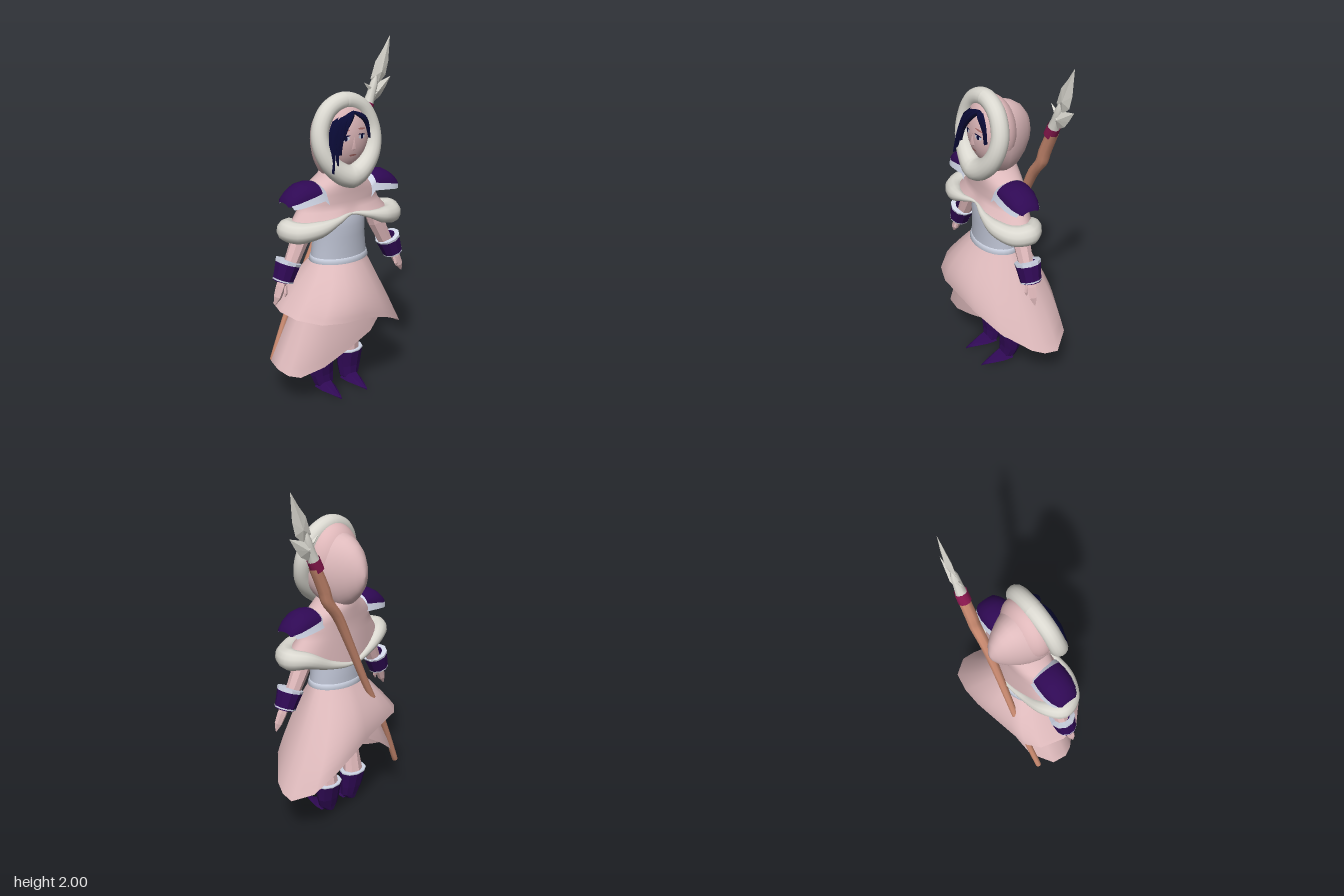
import * as THREE from 'three';

const paint = (name, color) => Object.assign(new THREE.MeshStandardMaterial({ color, side: THREE.DoubleSide }), { name });
const cloth = paint('pink cloth', 0xdebabc), fur = paint('cream fur', 0xdad8d0), steel = paint('grey corset', 0xbabfcf),
  trim = paint('pale trim', 0xd0d6e6), purple = paint('purple leather', 0x2f0954), skin = paint('skin', 0xdfb8ba),
  wood = paint('wood', 0xca8a70), magenta = paint('magenta binding', 0x8c1850), hairBlue = paint('navy hair', 0x0a0b38),
  brown = paint('brow and lip', 0xb0706c);

const V = (x, y, z) => new THREE.Vector3(x, y, z);
const { lerp } = THREE.MathUtils;
const curve = (pts, closed = false) => new THREE.CatmullRomCurve3(pts.map(p => V(p[0], p[1], p[2])), closed, 'centripetal');
const MID = -0.015; // the body stands slightly off the centre line

// Skin a grid of points; rows may be closed into rings
function surface(rows, closed = true, flat = false) {
  const n = rows[0].length, pos = [], idx = [];
  rows.forEach(r => r.forEach(p => pos.push(p.x, p.y, p.z)));
  for (let i = 0; i < rows.length - 1; i++)
    for (let j = 0; j < (closed ? n : n - 1); j++) {
      const k = (j + 1) % n, a = i * n + j, b = i * n + k, c = a + n, d = b + n;
      idx.push(a, b, c, b, d, c);
    }
  let g = new THREE.BufferGeometry();
  g.setAttribute('position', new THREE.Float32BufferAttribute(pos, 3));
  g.setIndex(idx);
  if (flat) g = g.toNonIndexed();
  g.computeVertexNormals();
  return g;
}

// Horizontal elliptical rings: [y, rx, rz, cx, cz]
function rings(list, sides, flat) {
  return surface(list.map(([y, rx, rz, cx = 0, cz = 0]) => Array.from({ length: sides }, (_, i) => {
    const a = i / sides * Math.PI * 2;
    return V(cx + Math.cos(a) * rx, y, cz + Math.sin(a) * rz);
  })), true, flat);
}

// Round section of changing radius swept along points [x, y, z, r]
function sweep(pts, segs, sides, { closed = false, flat = false } = {}) {
  const c = curve(pts, closed), f = c.computeFrenetFrames(segs, closed), rows = [];
  const spans = closed ? pts.length : pts.length - 1;
  for (let i = 0; i <= segs; i++) {
    const t = i / segs, k = Math.min(Math.floor(t * spans), spans - 1);
    const r = lerp(pts[k][3], pts[(k + 1) % pts.length][3], t * spans - k);
    const p = c.getPoint(t), tan = c.getTangent(t);
    const nrm = f.normals[i].clone().addScaledVector(tan, -f.normals[i].dot(tan)).normalize();
    const bin = tan.clone().cross(nrm);
    rows.push(Array.from({ length: sides }, (_, j) => {
      const a = j / sides * Math.PI * 2;
      return p.clone().addScaledVector(nrm, Math.cos(a) * r).addScaledVector(bin, Math.sin(a) * r);
    }));
  }
  return surface(rows, true, flat);
}

// Skirt layer falling from an oval waist to a slanted, straight-edged hem
function skirt(hem, y0, rx, rz) {
  return surface(Array.from({ length: 13 }, (_, i) => {
    const t = i / 12, s = Math.sin(t * Math.PI / 2);
    return hem.map(([x, y, z]) => {
      const a = Math.atan2(z / 0.26, x / 0.42);
      return V(lerp(MID + rx * Math.cos(a), x, t), lerp(y0, y, t), lerp(rz * Math.sin(a), z, s));
    });
  }));
}

// Flat outline with a raised ridge at its centre, front and back
function ridged(outline, [cx, cy], z, thick) {
  const rim = outline.map(([x, y]) => V(x, y, z));
  const tip = dz => rim.map(() => V(cx, cy, z + dz));
  return surface([tip(thick), rim, tip(-thick)], true, true);
}

export function createModel() {
  const root = new THREE.Group();
  const add = (name, geo, mat) => {
    const m = new THREE.Mesh(geo, mat);
    m.name = name;
    root.add(m);
    return m;
  };

  // Skirt layers
  add('upperSkirt', skirt([[.46, .27, -.12], [.45, .28, -.04], [.42, .31, .03], [.3, .4, .16], [.14, .485, .235], [-.02, .53, .26],
    [-.16, .535, .26], [-.28, .54, .22], [-.38, .56, .12], [-.41, .575, 0], [-.37, .57, -.14], [-.3, .57, -.2], [-.2, .56, -.22],
    [0, .52, -.25], [.1, .48, -.26], [.24, .41, -.255], [.38, .32, -.22]], .83, .17, .125), cloth);
  add('lowerSkirt', skirt([[.25, .5, 0], [.24, .46, .09], [.1, .38, .155], [-.06, .31, .16], [-.22, .24, .15], [-.36, .205, .12],
    [-.41, .21, .07], [-.44, .235, .01], [-.43, .25, -.08], [-.31, .31, -.17], [-.2, .4, -.19], [-.08, .48, -.19], [.05, .5, -.17],
    [.2, .52, -.1]], .78, .16, .11), cloth);

  // Corset and waistband
  add('corset', rings([[.82, .175, .125, MID], [.88, .167, .121, MID], [.97, .155, .12, MID, .003], [1.03, .152, .112, MID, .012],
    [1.08, .145, .1, MID, .018], [1.13, .12, .085, MID, .015]], 32), steel);
  add('waistband', rings([[.85, .168, .122, MID], [.848, .174, .127, MID], [.82, .182, .134, MID], [.815, .165, .12, MID]], 32), trim);

  // Shoulder cape with a fur hem, open to a peak at the front
  const half = [[.1, 1.082, .146, .022], [.2, 1.055, .133, .045], [.295, 1.038, .08, .058], [.325, 1.04, .005, .06],
    [.265, 1.035, -.062, .046], [.14, .985, -.105, .026]];
  const hem = [[MID, 1.105, .13, .006], ...half, [MID, .955, -.13, .01],
    ...half.slice().reverse().map(([x, y, z, r]) => [2 * MID - x, y, z, r])];
  const hemCurve = curve(hem, true), hemPts = Array.from({ length: 64 }, (_, i) => hemCurve.getPoint(i / 64));
  const capeRows = [[1.34, .09, .105], [1.3, .12, .116], [1.27, .18, .116], [1.22, .245, .114], [1.17, .243, .113], [1.13, .265, .118]].map(
    ([y, rx, rz]) => hemPts.map(p => {
      const a = Math.atan2(p.z / .13, (p.x - MID) / .35);
      return V(MID + rx * Math.cos(a), Math.max(y, p.y + .01), rz * Math.sin(a));
    }));
  add('shoulderCape', surface([...capeRows, hemPts]), cloth);
  add('capeFur', sweep(hem, 84, 12, { closed: true }), fur);

  // Hood: rings narrowing towards a soft point at the back
  const hood = [[.06, .165, .2, 1.49], [0, .157, .21, 1.472], [-.05, .14, .208, 1.473], [-.1, .115, .19, 1.475],
    [-.15, .085, .15, 1.48], [-.19, .05, .095, 1.48], [-.21, .02, .04, 1.475], [-.215, .001, .002, 1.475]];
  add('hood', surface(hood.map(([z, rx, ry, cy]) => Array.from({ length: 32 }, (_, i) => {
    const a = i / 32 * Math.PI * 2;
    return V(MID + Math.cos(a) * rx, cy + Math.sin(a) * ry, z);
  }))), cloth);
  add('hoodFur', sweep([[-.02, 1.712, .055, .049], [.09, 1.67, .06, .048], [.149, 1.56, .075, .048], [.138, 1.45, .1, .05],
    [.072, 1.36, .118, .056], [-.02, 1.315, .128, .064], [-.112, 1.36, .118, .056], [-.178, 1.45, .1, .05],
    [-.189, 1.56, .075, .048], [-.13, 1.67, .06, .048]], 64, 16, { closed: true }), fur);

  // Face, with thin features laid on its curve
  const FC = V(MID, 1.525, .025), FR = V(.168, .2, .118);
  add('face', new THREE.SphereGeometry(1, 32, 24).scale(FR.x, FR.y, FR.z), skin).position.copy(FC);
  const feature = (name, x, y, w, h, mat, lift, tilt = 0) => {
    const g = new THREE.CircleGeometry(1, 16).scale(w, h, 1).rotateZ(tilt).translate(MID + x, y, 0), p = g.attributes.position;
    for (let i = 0; i < p.count; i++) {
      const u = (p.getX(i) - FC.x) / FR.x, v = (p.getY(i) - FC.y) / FR.y;
      p.setZ(i, FC.z + FR.z * Math.sqrt(Math.max(0, 1 - u * u - v * v)) + lift);
    }
    g.computeVertexNormals();
    add(name, g, mat);
  };
  for (const s of [-1, 1]) {
    feature('eyeWhite', s * .053, 1.528, .024, .012, trim, .003);
    feature('iris', s * .053, 1.528, .01, .012, hairBlue, .005);
    feature('eyelid', s * .053, 1.541, .027, .004, hairBlue, .005, -s * .15);
    feature('eyebrow', s * .055, 1.57, .028, .005, brown, .004, -s * .12);
  }
  feature('mouth', 0, 1.432, .024, .006, brown, .004);
  add('nose', surface([[V(MID, 1.53, .142), V(MID, 1.53, .144), V(MID, 1.53, .142)],
    [V(MID - .013, 1.465, .134), V(MID, 1.472, .16), V(MID + .013, 1.465, .134)],
    [V(MID, 1.457, .132), V(MID, 1.455, .136), V(MID, 1.457, .132)]], false), skin);

  // Hair: tapered locks falling from the parting
  const lock = (w, ...pts) => {
    const c = curve(pts);
    add('hairLock', surface(Array.from({ length: 9 }, (_, i) => {
      const t = i / 8, p = c.getPoint(t), k = w * Math.sin(Math.PI * (.2 + .79 * t));
      return [V(p.x - k, p.y, p.z - .012), V(p.x, p.y, p.z + .006), V(p.x + k, p.y, p.z - .012), V(p.x, p.y, p.z - .016)];
    })), hairBlue);
  };
  lock(.024, [-.02, 1.66, .11], [-.1, 1.61, .135], [-.145, 1.5, .155], [-.168, 1.36, .172]);
  lock(.024, [-.01, 1.66, .11], [-.09, 1.61, .14], [-.125, 1.52, .16], [-.14, 1.4, .172]);
  lock(.028, [0, 1.665, .11], [-.07, 1.62, .14], [-.1, 1.54, .157], [-.115, 1.45, .162]);
  lock(.03, [.01, 1.665, .11], [-.03, 1.635, .135], [-.06, 1.595, .15], [-.09, 1.53, .155]);
  lock(.024, [-.09, 1.64, .1], [-.13, 1.58, .125], [-.152, 1.5, .145], [-.165, 1.42, .16]);
  lock(.02, [0, 1.665, .11], [.05, 1.64, .13], [.083, 1.59, .137], [.097, 1.51, .135]);
  lock(.022, [0, 1.665, .11], [.03, 1.645, .135], [.07, 1.61, .14], [.093, 1.56, .135]);

  for (const s of [-1, 1]) {
    const X = x => MID + s * x, side = s > 0 ? 'left' : 'right';
    const limb = (name, pts, sides, mat, segs = pts.length - 1) =>
      add(side + name, sweep(pts.map(([x, y, z, r]) => [X(x), y, z, r]), segs, sides, { flat: true }), mat);

    // Shoulder pad: shallow arch sloping outwards; stations are [x, top, foot, half depth]
    const pad = [[.18, 1.29, 1.238, .088], [.22, 1.3, 1.23, .092], [.28, 1.294, 1.218, .09], [.325, 1.268, 1.205, .08],
      [.36, 1.235, 1.195, .062], [.372, 1.205, 1.19, .045]];
    const arch = ([x, top, foot, depth]) => Array.from({ length: 13 }, (_, i) => {
      const a = (i / 12 - .5) * Math.PI;
      return V(X(x), foot + (top - foot) * Math.cos(a), .018 + depth * Math.sin(a));
    });
    add(side + 'ShoulderPad', surface(pad.map(arch), false), purple);
    add(side + 'PadInnerTrim', surface([[.15, 1.27, 1.215, .09], [.18, 1.292, 1.236, .09]].map(arch), false), trim);
    for (const e of [-1, 1]) // pale border under the front and back edges
      add(side + 'PadEdgeTrim', surface([[.15, 1.27, 1.215, .09], ...pad.slice(0, 5)].map(([x, , foot, depth], i) => {
        const drop = .042 - i * .005;
        return [V(X(x), foot + .004, .018 + e * (depth + .001)), V(X(x - .01), foot - drop, .018 + e * (depth + .012))];
      }), false), trim);

    // Arm, cuff and hand
    limb('Arm', [[.21, 1.12, 0, .05], [.26, .98, .005, .05], [.34, .82, .012, .04]], 8, skin);
    limb('Cuff', [[.345, .862, .012, .05], [.346, .86, .012, .072], [.384, .762, .015, .058], [.385, .758, .015, .02]], 10, purple);
    limb('CuffTopTrim', [[.341, .872, .012, .048], [.342, .87, .012, .075], [.347, .856, .012, .073]], 10, trim);
    limb('CuffLowerTrim', [[.38, .772, .015, .061], [.383, .764, .015, .06]], 10, trim);
    limb('Hand', [[.38, .78, .015, .024], [.4, .735, .02, .027], [.425, .68, .025, .022], [.443, .64, .025, .004]], 6, skin);
    limb('Thumb', [[.38, .74, .035, .012], [.385, .7, .045, .011], [.39, .68, .045, .003]], 5, skin);

    // Leg and pointed boot
    const cx = X(.105), heel = X(.092);
    add(side + 'Leg', rings([[.72, .05, .05, X(.085)], [.5, .043, .045, X(.1), -.01], [.36, .042, .043, cx, -.02],
      [.19, .064, .055, cx, -.04]], 8, true), skin);
    add(side + 'Boot', rings([[.2, .086, .068, cx, -.04], [.1, .076, .052, X(.1), -.035], [.04, .06, .046, heel, -.025],
      [.012, .03, .035, heel, -.03], [.01, .001, .001, heel, -.03]], 10, true), purple);
    add(side + 'BootToe', surface([[-.03, .058, .075, .012], [.03, .05, .052, .008], [.1, .026, .024, .004], [.158, .001, .006, .003]].map(
      ([z, w, top, bottom]) => [V(heel - w, bottom + .01, z), V(heel - w * .45, top, z), V(heel + w * .45, top, z),
        V(heel + w, bottom + .01, z), V(heel, bottom, z)]), true, true), purple);
    add(side + 'BootTrim', rings([[.194, .086, .068, cx, -.04], [.201, .09, .072, cx, -.04], [.208, .085, .067, cx, -.04],
      [.205, .06, .05, cx, -.04]], 10), trim);
  }

  // Spear across the back
  add('spearShaft', sweep([[-.375, .205, -.155, .001], [-.374, .207, -.155, .017], [-.24, .52, -.165, .019], [-.1, .8, -.158, .021],
    [.03, 1.08, -.152, .025], [.13, 1.28, -.15, .03], [.205, 1.38, -.15, .033], [.23, 1.45, -.15, .034], [.295, 1.59, -.15, .032]],
    32, 8), wood);
  add('spearBinding', sweep([[.275, 1.57, -.15, .037], [.29, 1.6, -.15, .037], [.305, 1.632, -.15, .036]], 2, 10), magenta);
  add('spearSocket', sweep([[.3, 1.62, -.15, .032], [.32, 1.67, -.15, .026], [.345, 1.74, -.15, .022], [.36, 1.8, -.15, .004]], 6, 8), fur);
  add('spearProngs', ridged([[.285, 1.635], [.315, 1.69], [.27, 1.75], [.31, 1.73], [.35, 1.735], [.385, 1.745], [.465, 1.768],
    [.425, 1.705], [.39, 1.66], [.33, 1.625]], [.355, 1.69], -.15, .024), fur);
  add('spearBlade', ridged([[.455, 2], [.4, 1.92], [.352, 1.86], [.318, 1.765], [.37, 1.725], [.425, 1.775], [.445, 1.85]],
    [.385, 1.8], -.15, .018), fur);

  return root;
}
